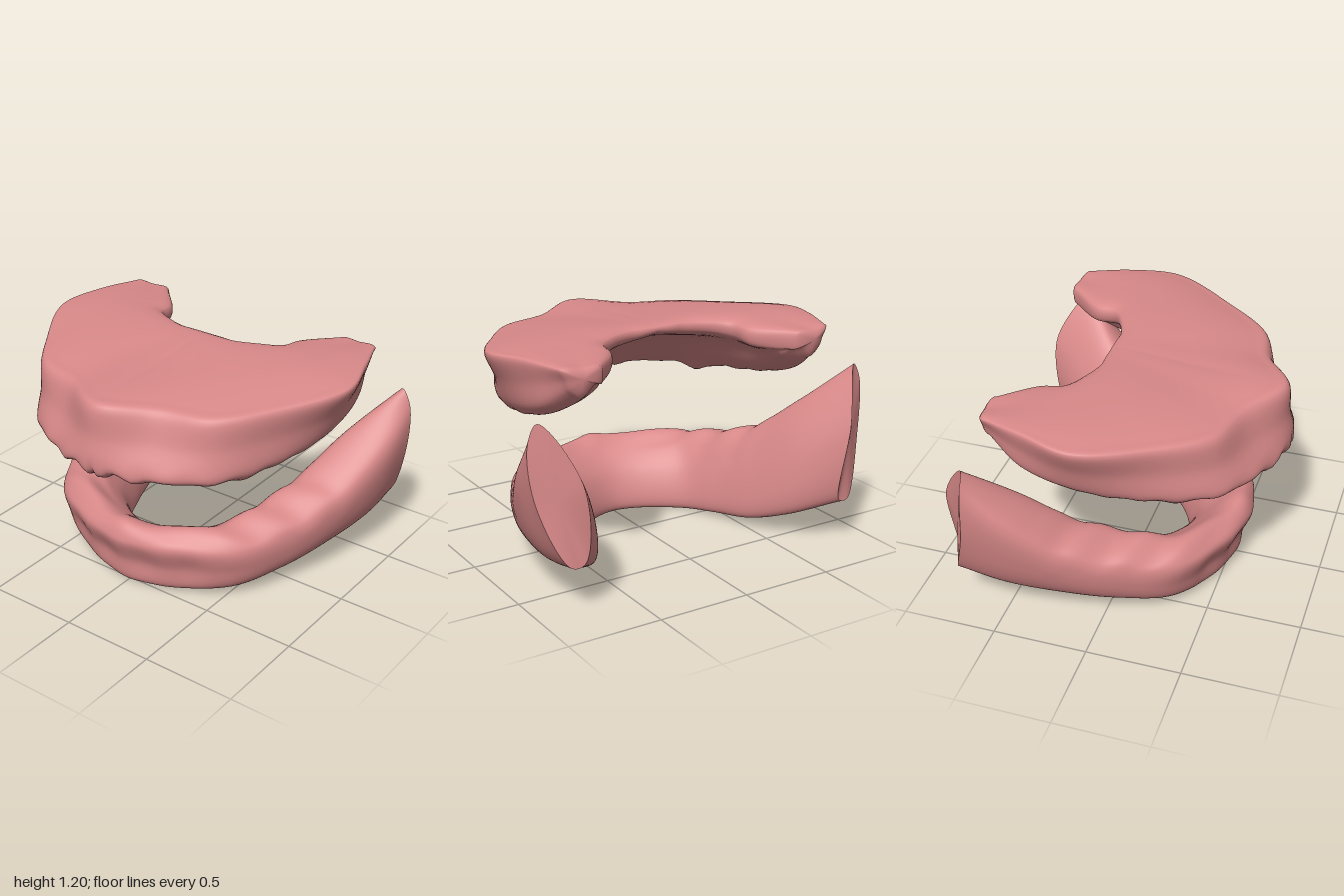
import * as THREE from 'three';

const { lerp, smoothstep } = THREE.MathUtils;
const vec = (x, y, z) => new THREE.Vector3(x, y, z);
const mix = (a, b, t) => a.clone().lerp(b, t);
const bell = (x, c, w) => Math.exp(-(((x - c) / w) ** 2));

// Mirrors a half rail (centre front to back end) into one smooth curve from -x to +x.
function rail(...half) {
  const right = half.map((p) => vec(...p));
  const left = right.slice(1).reverse().map((p) => vec(-p.x, p.y, p.z));
  return new THREE.CatmullRomCurve3([...left, ...right], false, 'centripetal');
}

// Lofts closed smooth sections along the rails; ends get a dome (depth > 0) or a flat cut.
function loft(rails, profile, depth, tweak) {
  const steps = 120, around = 80;
  const pos = [], index = [], rings = [];
  const add = (p) => pos.push(p.x, p.y, p.z) / 3 - 1;
  const centre = (ring) => ring.reduce((s, p) => s.add(p), vec(0, 0, 0)).divideScalar(ring.length);
  const bridge = (a, b) => {
    for (let j = 0; j < around; j++) {
      const k = (j + 1) % around;
      index.push(a[j], a[k], b[j], a[k], b[k], b[j]);
    }
  };

  for (let i = 0; i <= steps; i++) {
    const points = profile(rails.map((c) => c.getPoint(i / steps)), Math.abs((2 * i) / steps - 1));
    const section = new THREE.CatmullRomCurve3(points, true, 'centripetal');
    rings.push(Array.from({ length: around }, (_, j) => tweak(section.getPoint(j / around))));
  }
  const ids = rings.map((r) => r.map(add));
  for (let i = 0; i < steps; i++) bridge(ids[i], ids[i + 1]);

  for (const end of [0, steps]) {
    const ring = rings[end], mid = centre(ring);
    const out = mid.clone().sub(centre(rings[end ? steps - 1 : 1])).normalize();
    let last = depth ? ids[end] : ring.map(add);
    for (let k = 1; depth && k < 5; k++) {
      const a = (k / 5) * Math.PI / 2;
      const next = ring.map((p) => add(mix(mid, p, Math.cos(a)).addScaledVector(out, depth * Math.sin(a))));
      if (end) bridge(last, next); else bridge(next, last);
      last = next;
    }
    const tip = add(mid.clone().addScaledVector(out, depth));
    for (let j = 0; j < around; j++) {
      const k = (j + 1) % around;
      if (end) index.push(tip, last[j], last[k]); else index.push(tip, last[k], last[j]);
    }
  }
  const g = new THREE.BufferGeometry();
  g.setAttribute('position', new THREE.Float32BufferAttribute(pos, 3));
  g.setIndex(index);
  g.computeVertexNormals();
  return g;
}

// Upper gum: flat-topped plate, outer wall, ridge crest and hollow palate
function upperGeometry() {
  const rim = rail([0, 1.13, .75], [.28, 1.11, .59], [.53, 1.105, .51], [.73, 1.12, .27], [.92, 1.15, -.08], [.86, 1.17, -.35], [.79, 1.165, -.56]);
  const lip = rail([0, .8, .79], [.3, .8, .71], [.55, .8, .56], [.71, .82, .27], [.8, .86, -.08], [.8, .94, -.38], [.74, 1.05, -.56]);
  const palateEdge = rail([0, 1.18, -.18], [.08, 1.18, -.18], [.17, 1.18, -.18], [.29, 1.18, -.22], [.39, 1.17, -.29], [.42, 1.16, -.41], [.57, 1.16, -.58]);

  const profile = ([top, low, back], t) => {
    // steps inward from the lip towards the palate edge at a given height
    const span = Math.hypot(back.x - low.x, back.z - low.z);
    const inward = (d, most, y) => mix(low, back, Math.min(d / span, most)).setY(y);
    const crest = inward(0.08, 0.4, low.y - 0.04);
    const inner = inward(0.21, 0.8, low.y + 0.02);
    const under = back.clone().setY(back.y - 0.03 - 0.06 * t);
    const vault = mix(inner, under, 0.42).setY(lerp(inner.y, under.y, 0.6));
    const middle = mix(top, back, 0.5);
    middle.y += 0.005 + 0.035 * Math.sin(Math.PI * t);
    const shelf = mix(top, middle, 0.2);
    shelf.y += 0.01;
    return [top, mix(top, low, 0.5), low, crest, inner, vault, under, back, middle, shelf];
  };

  return loft([rim, lip, palateEdge], profile, 0.045, (p) => {
    const x = Math.abs(p.x);
    const low = smoothstep(0.88 - p.y, 0, 0.1);
    // small points and dips along the crest
    p.y -= low * (0.026 * bell(x, .04, .04) + 0.022 * bell(x, .22, .04)
      + 0.04 * bell(x, .58, .06) * bell(p.z, .31, .07)
      + 0.005 * Math.sin(p.z * 38) * smoothstep(x, .4, .6) - 0.01 * bell(x, .12, .04));
    // shallow flutes and a centre notch on the front wall
    if (p.z > 0.5) p.z += low * (0.005 * Math.cos(x * 34) - 0.02 * bell(x, 0, .02));
    return p;
  });
}

// Lower gum: horseshoe ridge rising to cut, pointed rear ends
function lowerGeometry() {
  const ridge = rail([0, .37, .54], [.42, .39, .33], [.53, .44, .06], [.61, .52, -.18], [.74, .72, -.42], [.94, .95, -.63]);
  const shoulder = rail([0, .3, .61], [.53, .31, .4], [.7, .36, .13], [.84, .47, -.17], [.94, .67, -.42], [.99, .86, -.625]);
  const baseOuter = rail([0, .015, .53], [.5, .05, .33], [.67, .1, .06], [.77, .15, -.25], [.83, .2, -.5], [.84, .25, -.75]);
  const baseInner = rail([0, .01, .26], [.33, .01, .1], [.43, .03, -.1], [.5, .06, -.32], [.6, .14, -.54], [.77, .26, -.76]);

  const profile = ([top, outer, low, under], t) => {
    const wall = mix(outer, low, 0.5);
    wall.x *= 1.06;
    wall.z += 0.035 * t ** 6;
    const inner = vec(lerp(top.x, under.x, 0.85), lerp(top.y, under.y, 0.4), lerp(top.z, under.z, 0.8) - 0.065 * t ** 6);
    return [top, outer, wall, low, under, inner];
  };

  return loft([ridge, shoulder, baseOuter, baseInner], profile, 0, (p) => {
    const x = Math.abs(p.x);
    const crest = smoothstep(p.y, .3, .37) * smoothstep(p.z, -.32, -.15);
    // uneven crest
    p.y += crest * (0.018 * bell(x, 0, .07) + 0.01 * Math.sin(p.z * 30 + x * 6) * smoothstep(x, .1, .3));
    // shallow hollows on the front wall
    p.z += smoothstep(p.z, .38, .5) * bell(p.y, .16, .14) * (0.007 * Math.cos(x * 26) - 0.015);
    p.y = Math.max(p.y, 0);
    return p;
  });
}

export function createModel() {
  const model = new THREE.Group();
  model.name = 'gums';
  const gumPink = new THREE.MeshStandardMaterial({ color: 0xd98989 });
  gumPink.name = 'gum pink';

  const upper = new THREE.Mesh(upperGeometry(), gumPink);
  upper.name = 'upperGum';
  const lower = new THREE.Mesh(lowerGeometry(), gumPink);
  lower.name = 'lowerGum';
  model.add(upper, lower);
  return model;
}
